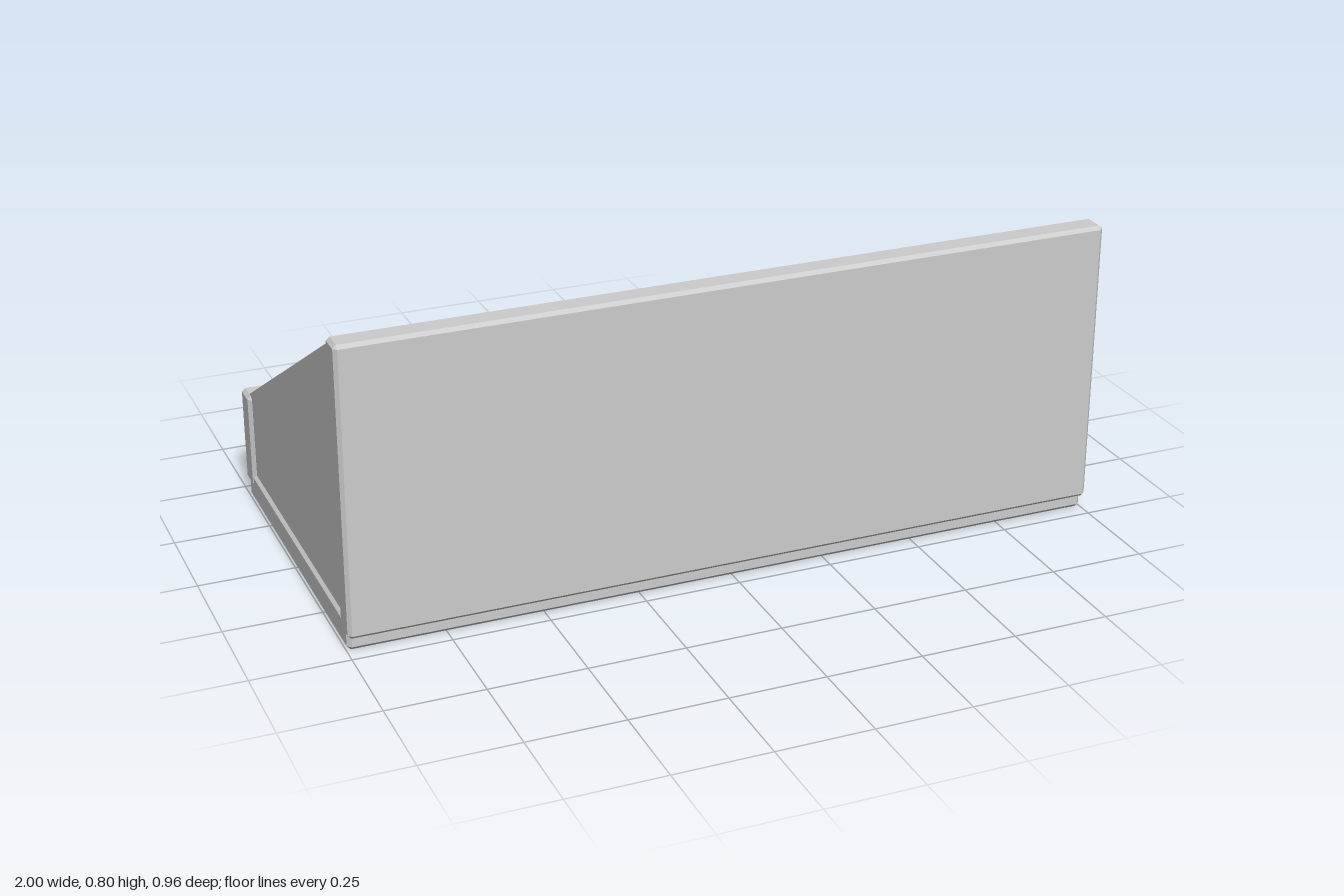
import * as THREE from 'three';
import { ConvexGeometry } from 'three/addons/geometries/ConvexGeometry.js';

const grey = new THREE.MeshStandardMaterial({ color: 0xcccccc });
grey.name = 'grey';

// Box between two corners with every edge chamfered by c
function chamferedBox(min, max, c) {
  const points = [];
  for (const sx of [0, 1]) for (const sy of [0, 1]) for (const sz of [0, 1]) {
    const side = [sx, sy, sz];
    for (let free = 0; free < 3; free++) {
      const p = side.map((s, i) => {
        const inset = i === free ? 0 : c;
        return s ? max[i] - inset : min[i] + inset;
      });
      points.push(new THREE.Vector3(...p));
    }
  }
  return new ConvexGeometry(points);
}

export function createModel() {
  const model = new THREE.Group();
  model.name = 'compartmentTray';

  function add(name, geometry, x = 0, y = 0, z = 0, parent = model) {
    const mesh = new THREE.Mesh(geometry, grey);
    mesh.name = name;
    mesh.position.set(x, y, z);
    parent.add(mesh);
    return mesh;
  }

  // Base slab, tall wall and low wall
  add('base', chamferedBox([-0.998, 0, -0.45], [0.998, 0.078, 0.46], 0.01));
  add('tallWall', chamferedBox([-1, 0.04, 0.41], [1, 0.795, 0.48], 0.009));
  add('lowWall', chamferedBox([-1, 0.042, -0.473], [1, 0.302, -0.398], 0.009));

  // Sloping end panels and dividers: profile in (z, y), extruded along x
  const profile = new THREE.Shape([
    [-0.425, 0.05], [0.42, 0.05], [0.42, 0.784], [0.41, 0.78], [-0.425, 0.3],
  ].map(([z, y]) => new THREE.Vector2(-z, y)));
  function panel(name, x0, x1) {
    const geometry = new THREE.ExtrudeGeometry(profile, { depth: x1 - x0, bevelEnabled: false });
    geometry.rotateY(Math.PI / 2);
    add(name, geometry, x0, 0, 0);
  }
  panel('rightEndPanel', -0.99, -0.94);
  panel('rightDivider', -0.35, -0.3);
  panel('leftDivider', 0.3, 0.35);
  panel('leftEndPanel', 0.94, 0.99);

  // Raised marks on the low wall: ring, diagonal cross, upright cross
  const markY = 0.185, markZ = -0.48;
  const ring = new THREE.Shape().absarc(0, 0, 0.065, 0, Math.PI * 2);
  ring.holes.push(new THREE.Path().absarc(0, 0, 0.053, 0, Math.PI * 2, true));
  add('ringMark', new THREE.ExtrudeGeometry(ring, { depth: 0.009, bevelEnabled: false, curveSegments: 24 }),
    0.637, markY, markZ);

  function cross(name, x, length, angle) {
    const group = new THREE.Group();
    group.name = name;
    group.position.set(x, markY, markZ + 0.0045);
    for (const turn of [0, Math.PI / 2]) {
      add('crossBar', new THREE.BoxGeometry(length, 0.012, 0.009), 0, 0, 0, group).rotation.z = angle + turn;
    }
    model.add(group);
  }
  cross('diagonalCrossMark', 0, 0.14, Math.PI / 4);
  cross('uprightCrossMark', -0.64, 0.125, 0);

  return model;
}
